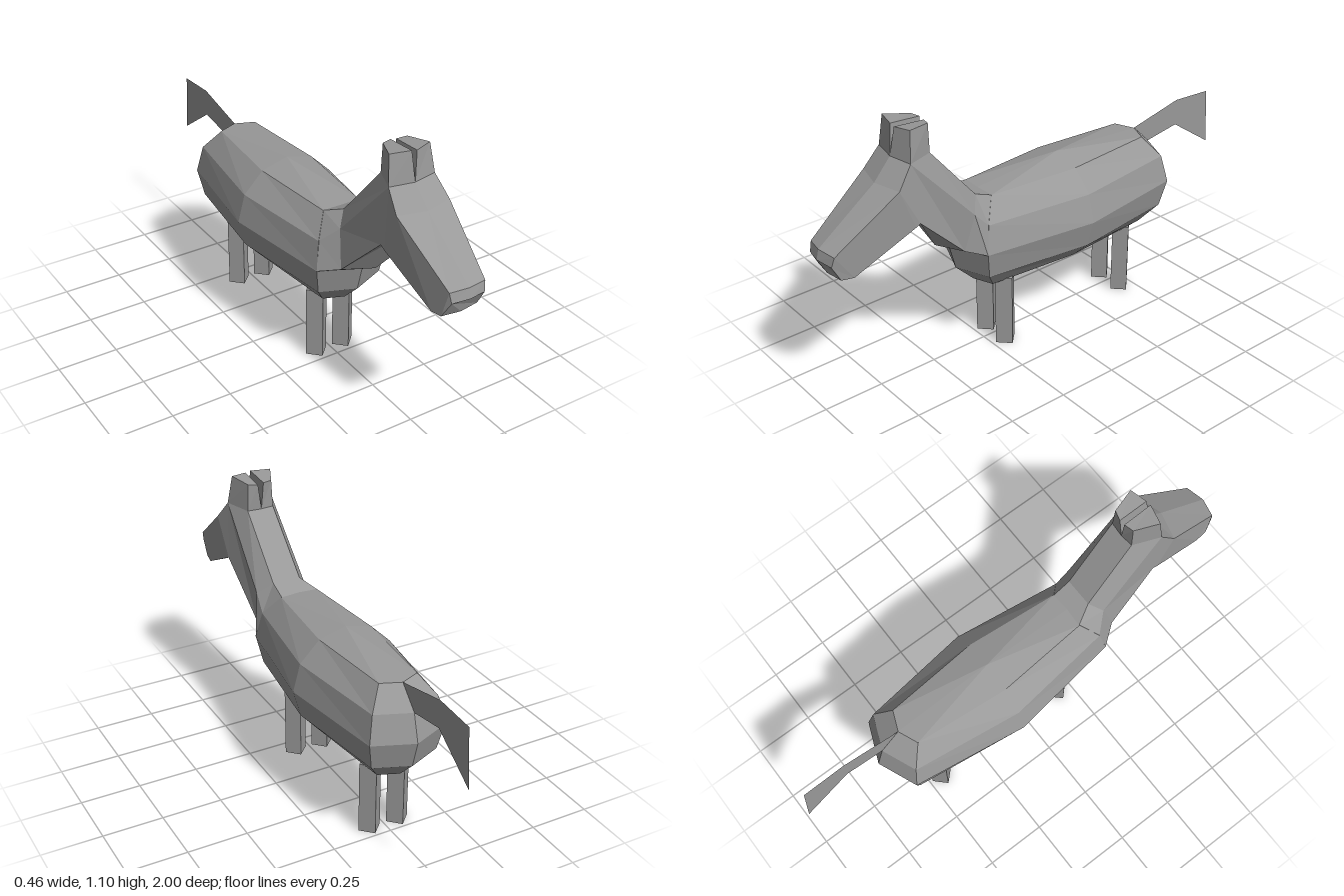
import * as THREE from 'three';

const coat = new THREE.MeshStandardMaterial({ color: 0x999999, flatShading: true, side: THREE.DoubleSide });
coat.name = 'grey coat';

function part(name, geometry) {
  const mesh = new THREE.Mesh(geometry, coat);
  mesh.name = name;
  return mesh;
}

// Skin between rings of points (anticlockwise seen from the far end), optionally closed at the end
function loft(rings, capEnd) {
  const n = rings[0].length;
  const index = [];
  for (let r = 0; r < rings.length - 1; r++) {
    for (let i = 0; i < n; i++) {
      const j = (i + 1) % n;
      const a = r * n + i, b = r * n + j, c = b + n, d = a + n;
      index.push(a, b, c, a, c, d);
    }
  }
  if (capEnd) {
    const s = (rings.length - 1) * n;
    for (let i = 1; i < n - 1; i++) index.push(s, s + i, s + i + 1);
  }
  const g = new THREE.BufferGeometry();
  g.setAttribute('position', new THREE.Float32BufferAttribute(rings.flat(2), 3));
  g.setIndex(index);
  const flat = g.toNonIndexed();
  flat.computeVertexNormals();
  return flat;
}

// Low-poly ball whose front and back halves are pulled apart
function bodyGeometry() {
  const g = new THREE.SphereGeometry(0.23, 8, 6).toNonIndexed();
  const p = g.attributes.position;
  for (let i = 0; i < p.count; i++) {
    const z = p.getZ(i);
    if (Math.abs(z) > 0.001) p.setZ(i, z + Math.sign(z) * 0.31);
  }
  g.translate(0, 0.5, -0.13);
  g.computeVertexNormals();
  return g;
}

export function createModel() {
  const model = new THREE.Group();
  model.name = 'horse';

  model.add(part('body', bodyGeometry()));

  // Neck: crest, side, throat, throat middle, throat, side, crest
  model.add(part('neck', loft([
    [[-0.08, 0.7, 0.26], [-0.14, 0.615, 0.32], [-0.163, 0.5, 0.343], [0, 0.5, 0.41],
      [0.163, 0.5, 0.343], [0.14, 0.615, 0.32], [0.08, 0.7, 0.26]],
    [[-0.04, 0.73, 0.335], [-0.085, 0.68, 0.38], [-0.105, 0.53, 0.42], [0.01, 0.53, 0.48],
      [0.12, 0.53, 0.42], [0.135, 0.68, 0.38], [0.08, 0.73, 0.335]],
    [[-0.025, 0.975, 0.54], [-0.07, 0.98, 0.65], [-0.08, 0.74, 0.63], [0.035, 0.74, 0.615],
      [0.145, 0.74, 0.63], [0.13, 0.98, 0.65], [0.09, 0.975, 0.54]],
  ])));

  // Head: brow, jaw, jaw middle, jaw, brow, brow middle
  model.add(part('head', loft([
    [[-0.07, 0.98, 0.65], [-0.08, 0.74, 0.63], [0.035, 0.74, 0.615],
      [0.145, 0.74, 0.63], [0.13, 0.98, 0.65], [0.03, 0.98, 0.67]],
    [[-0.08, 0.9, 0.715], [-0.08, 0.73, 0.65], [0.035, 0.73, 0.64],
      [0.145, 0.73, 0.65], [0.15, 0.9, 0.715], [0.035, 0.9, 0.745]],
    [[-0.04, 0.715, 0.975], [-0.055, 0.605, 0.9], [0.03, 0.6, 0.905],
      [0.115, 0.605, 0.9], [0.115, 0.715, 0.975], [0.035, 0.72, 0.99]],
    [[-0.035, 0.675, 0.985], [-0.05, 0.61, 0.95], [0.03, 0.608, 0.96],
      [0.108, 0.61, 0.95], [0.108, 0.675, 0.985], [0.035, 0.68, 1.0]],
  ], true)));

  // Ears: blocky wedges that share the base line between them
  model.add(part('rightEar', loft([
    [[-0.025, 0.975, 0.54], [-0.07, 0.98, 0.65], [0.03, 0.98, 0.67], [0.03, 0.975, 0.535]],
    [[-0.02, 1.09, 0.54], [-0.062, 1.1, 0.635], [0.02, 1.1, 0.655], [0.02, 1.09, 0.53]],
  ], true)));
  model.add(part('leftEar', loft([
    [[0.03, 0.975, 0.535], [0.03, 0.98, 0.67], [0.13, 0.98, 0.65], [0.09, 0.975, 0.54]],
    [[0.045, 1.085, 0.53], [0.043, 1.095, 0.655], [0.113, 1.1, 0.635], [0.085, 1.09, 0.54]],
  ], true)));

  // Four square legs set corner-on
  for (const [end, z] of [['front', 0.1875], ['back', -0.44]]) {
    for (const [side, x] of [['Left', 0.0625], ['Right', -0.0625]]) {
      const leg = part(end + side + 'Leg', new THREE.CylinderGeometry(0.048, 0.048, 0.31, 4));
      leg.position.set(x, 0.155, z);
      model.add(leg);
    }
  }

  // Flat tail on the centre line
  const outline = [[0.555, 0.7], [0.64, 0.615], [0.8, 0.64], [1, 0.5], [0.98, 0.745], [0.8, 0.755]];
  const tail = new THREE.Shape(outline.map(([x, y]) => new THREE.Vector2(x, y)));
  model.add(part('tail', new THREE.ShapeGeometry(tail).rotateY(Math.PI / 2)));

  return model;
}
